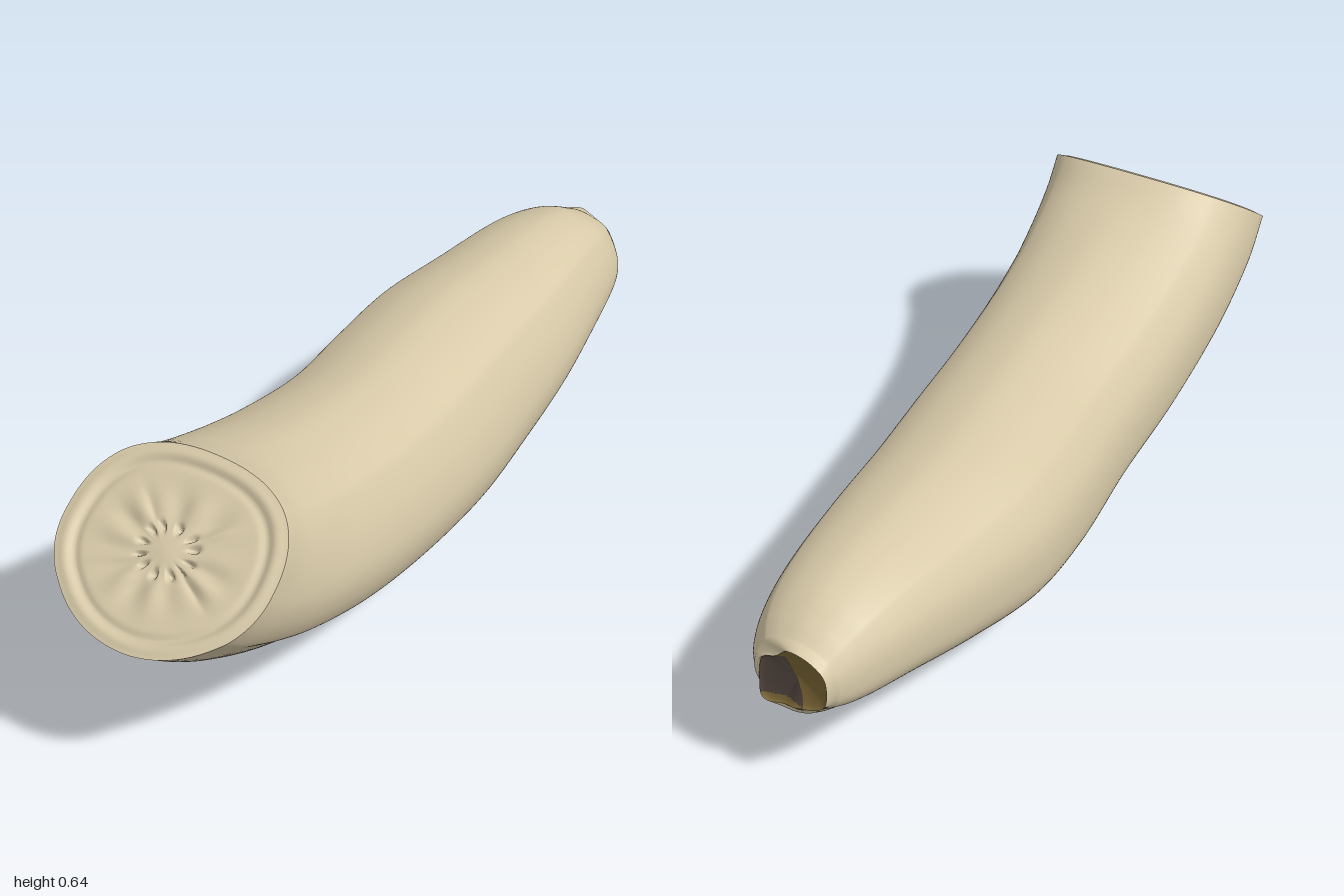
import * as THREE from 'three';

const AROUND = 128;
const ALONG = 96;

const skin = new THREE.MeshStandardMaterial({ color: 0xd7c9a8 });
skin.name = 'pale cream peel';
const olive = new THREE.MeshStandardMaterial({ color: 0x7d6836 });
olive.name = 'olive brown tip';
const dark = new THREE.MeshStandardMaterial({ color: 0x50443d });
dark.name = 'dark brown tip';

// Cross-sections: top x, top y, centre z / bottom x, bottom y, half width
const tops = [
  [-0.632, 0.64, 0.035], [-0.55, 0.6, 0.023], [-0.42, 0.56, 0.011], [-0.25, 0.52, 0],
  [-0.05, 0.492, -0.013], [0.15, 0.486, -0.039], [0.35, 0.484, -0.062], [0.55, 0.476, -0.065],
  [0.74, 0.47, -0.07], [0.86, 0.45, -0.072], [0.93, 0.418, -0.073], [0.975, 0.388, -0.078],
];
const bottoms = [
  [-1, 0.38, 0.265], [-0.88, 0.285, 0.267], [-0.68, 0.17, 0.264], [-0.42, 0.075, 0.256],
  [-0.15, 0.023, 0.248], [0.12, 0.002, 0.251], [0.35, 0.02, 0.242], [0.57, 0.07, 0.215],
  [0.77, 0.13, 0.18], [0.88, 0.16, 0.152], [0.94, 0.182, 0.127], [0.98, 0.207, 0.101],
];
const curve = (list, closed = false) => new THREE.CatmullRomCurve3(
  list.map((p) => new THREE.Vector3(...p)), closed, 'catmullrom', 0.5,
);
const topCurve = curve(tops);
const bottomCurve = curve(bottoms);
const closedRing = (list) => curve(list, true).getPoints(AROUND).slice(0, AROUND);

// Ridged outline of the fruit as (0, up, side): top, front side, bottom, back side
const outline = closedRing([
  [0, 1, 0], [0, 0.92, 0.38], [0, 0.77, 0.65], [0, 0.63, 0.77], [0, 0.32, 0.92], [0, 0, 1],
  [0, -0.27, 0.98], [0, -0.5, 0.88], [0, -0.6, 0.75], [0, -0.85, 0.48], [0, -1, 0.16],
  [0, -0.94, -0.2], [0, -0.8, -0.44], [0, -0.6, -0.64], [0, -0.48, -0.83], [0, -0.25, -0.97],
  [0, 0.08, -1], [0, 0.38, -0.95], [0, 0.66, -0.8], [0, 0.78, -0.67], [0, 0.93, -0.37],
]);

// One ring of the body at t, scaled about its own centre; squarish at the cut
function bodyRing(t, scale = 1) {
  const top = topCurve.getPoint(t);
  const bottom = bottomCurve.getPoint(t);
  const blend = Math.max(0, 1 - t / 0.2) * 0.85;
  return outline.map((o) => {
    const power = o.y > 0 ? 2.5 : 2;
    const full = (Math.abs(o.y) ** power + Math.abs(o.z) ** power) ** (-1 / power);
    const size = THREE.MathUtils.lerp(1, full, blend) * scale;
    return new THREE.Vector3(
      (top.x + bottom.x) / 2 + o.y * size * (top.x - bottom.x) / 2,
      (top.y + bottom.y) / 2 + o.y * size * (top.y - bottom.y) / 2,
      top.z + o.z * size * bottom.z,
    );
  });
}

// Uneven rim of the tip, with a small notch
const tipRim = closedRing([
  [1, 0.38, -0.098], [1, 0.372, -0.068], [1, 0.348, -0.042], [1, 0.338, -0.012], [1, 0.275, -0.003],
  [1, 0.232, -0.008], [1, 0.224, -0.045], [1, 0.24, -0.1], [1, 0.25, -0.135], [1, 0.275, -0.163],
  [1, 0.335, -0.165], [1, 0.365, -0.14],
]).map((p) => p.setX(1 - 0.012 * Math.exp(-(((p.z + 0.05) / 0.025) ** 2))));

// Joins rings into a closed sleeve; keep(centre) chooses which faces stay
function loft(rings, keep = () => true) {
  const points = rings.flat();
  const index = [];
  const centre = new THREE.Vector3();
  for (let i = 0; i < rings.length - 1; i++) {
    for (let j = 0; j < AROUND; j++) {
      const a = i * AROUND + j;
      const b = i * AROUND + (j + 1) % AROUND;
      const c = a + AROUND;
      const d = b + AROUND;
      centre.copy(points[a]).add(points[d]).multiplyScalar(0.5);
      if (keep(centre)) index.push(a, b, c, b, d, c);
    }
  }
  const geometry = new THREE.BufferGeometry().setFromPoints(points);
  geometry.setIndex(index);
  geometry.computeVertexNormals();
  return geometry;
}

function addMesh(group, name, geometry, material) {
  const mesh = new THREE.Mesh(geometry, material);
  mesh.name = name;
  group.add(mesh);
}

// Height of the cut face: thin lip, radial puckers and a ring of small pits
function cutRelief(r, angle) {
  const bump = (centre, width) => Math.exp(-(((r - centre) / width) ** 2));
  const lip = -0.006 * bump(0.82, 0.04) + 0.004 * bump(0.91, 0.05);
  const pucker = 0.004 * bump(0.45, 0.17) * (Math.sin(angle * 11) + 0.7 * Math.sin(angle * 7 + 1));
  const pits = -0.016 * bump(0.23, 0.04) * Math.max(0, Math.cos(angle * 12));
  return lip + pucker + pits + 0.005 * bump(0, 0.15);
}

export function createModel() {
  const group = new THREE.Group();
  group.name = 'cutBanana';

  // Curved body, closing in on the tip rim
  const rings = [];
  for (let i = 0; i <= ALONG; i++) rings.push(bodyRing(i / ALONG));
  rings.push(tipRim);
  addMesh(group, 'peel', loft(rings), skin);

  // Slanted cut face, from its centre to the rim
  const normal = new THREE.Vector3(-0.586, 0.81, 0);
  const face = [];
  for (let i = 0; i <= 40; i++) {
    const r = Math.max(i / 40, 0.001);
    face.push(bodyRing(0, r).map((p, j) => (
      i === 40 ? p : p.addScaledVector(normal, cutRelief(r, (j / AROUND) * Math.PI * 2))
    )));
  }
  addMesh(group, 'cutFace', loft(face), skin);

  // Shallow hollow at the tip, in two browns
  const middle = new THREE.Vector3(0.975, 0.3, -0.083);
  const hollow = [];
  for (let i = 0; i <= 24; i++) {
    const inward = Math.min(i / 24, 0.999);
    hollow.push(tipRim.map((p) => {
      const q = p.clone().lerp(middle, inward);
      return q.setX(THREE.MathUtils.lerp(p.x, middle.x, Math.sqrt(inward)));
    }));
  }
  const isDark = (p) => p.z > -0.06 - (0.345 - p.y) * 0.45 && p.y > 0.242 && p.y < 0.346;
  addMesh(group, 'tipHollow', loft(hollow, (p) => !isDark(p)), olive);
  addMesh(group, 'tipHollowShadowSide', loft(hollow, isDark), dark);

  return group;
}
